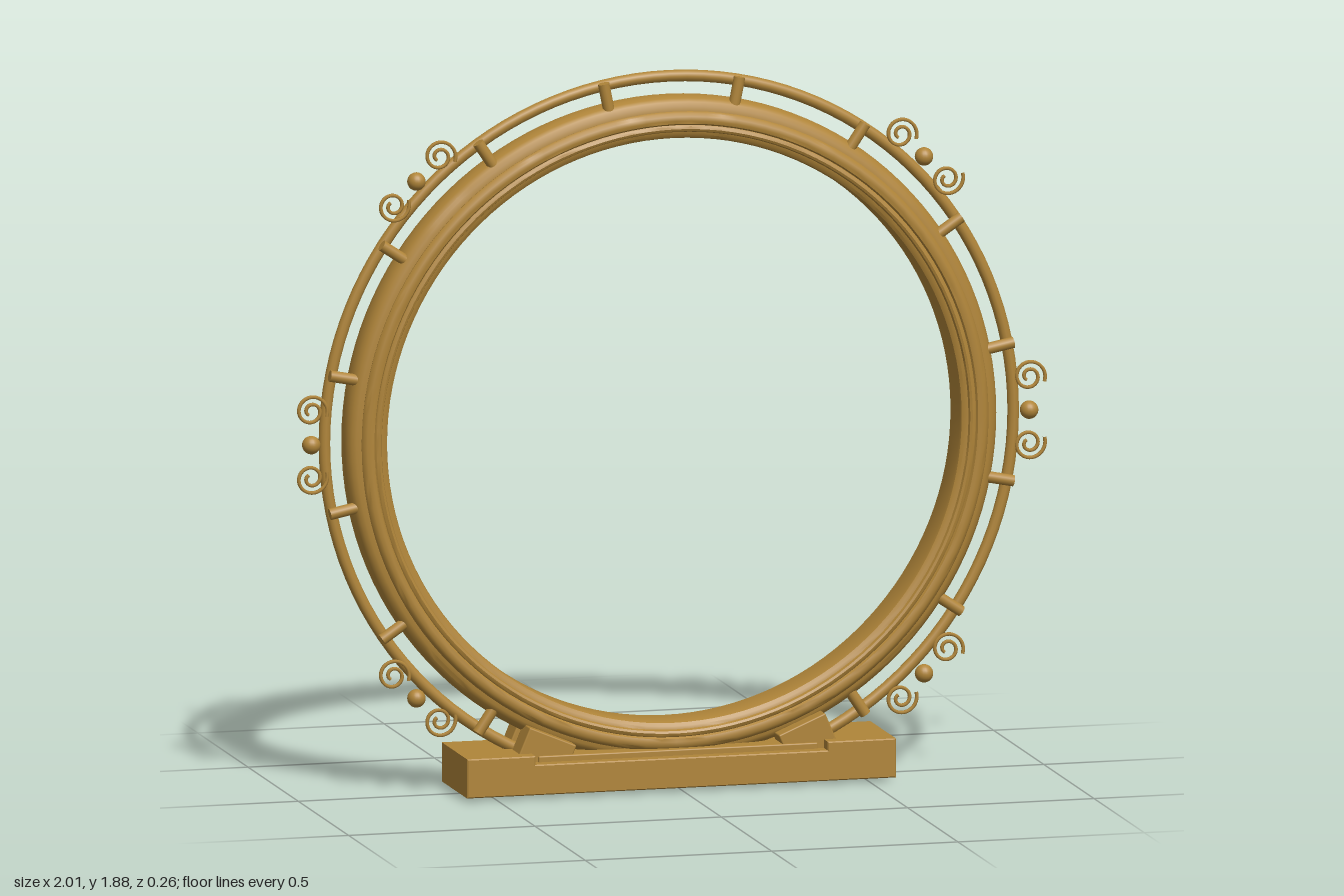
import * as THREE from 'three';
import { toCreasedNormals } from 'three/addons/utils/BufferGeometryUtils.js';
import { RoundedBoxGeometry } from 'three/addons/geometries/RoundedBoxGeometry.js';

const CX = -0.006, CY = 0.945; // centre of the ring

export function createModel() {
  const model = new THREE.Group();
  model.name = 'ringOnStand';
  const bronze = new THREE.MeshStandardMaterial({ color: 0xb08539 });
  bronze.name = 'bronze';

  function add(parent, name, geometry, x = 0, y = 0, z = 0, turn = 0) {
    const mesh = new THREE.Mesh(geometry, bronze);
    mesh.name = name;
    mesh.position.set(x, y, z);
    mesh.rotation.z = turn;
    parent.add(mesh);
    return mesh;
  }

  const ring = new THREE.Group();
  ring.name = 'ring';
  ring.position.set(CX, CY, 0);
  model.add(ring);

  // Moulded main ring: half section (radius, depth) from bore to crown, mirrored in depth
  const half = [
    [0.768, 0.045], [0.771, 0.055], [0.779, 0.061], [0.787, 0.063],
    [0.79, 0.071], [0.796, 0.074], [0.803, 0.072], [0.806, 0.069],
    [0.81, 0.075], [0.818, 0.0775], [0.829, 0.0765], [0.837, 0.071],
    [0.841, 0.063], [0.839, 0.055], [0.834, 0.05],
    [0.851, 0.049], [0.862, 0.043], [0.87, 0.032], [0.874, 0.016],
  ];
  const section = [
    ...half.map(([r, d]) => [r, -d]),
    [0.875, 0],
    ...half.slice().reverse(),
    [0.768, -0.045],
  ].map(([r, d]) => new THREE.Vector2(r, d));
  const ringGeometry = new THREE.LatheGeometry(section, 128);
  ringGeometry.rotateX(Math.PI / 2);
  add(ring, 'mainRing', toCreasedNormals(ringGeometry, 0.6));

  // Thin outer hoop
  add(ring, 'outerHoop', new THREE.TorusGeometry(0.924, 0.0155, 12, 128));

  // Sixteen pegs joining the hoop to the main ring
  const peg = new THREE.CylinderGeometry(0.015, 0.015, 0.08, 14);
  for (let i = 0; i < 16; i++) {
    const a = ((i + 0.5) * Math.PI) / 8;
    add(ring, 'peg', peg, 0.895 * Math.cos(a), 0.895 * Math.sin(a), 0.028, a - Math.PI / 2);
  }

  // Spiral wire, opening towards +x
  const points = [];
  for (let i = 0; i <= 36; i++) {
    const t = i / 36, a = -0.35 + t * Math.PI * 3.4, r = 0.044 - 0.033 * t;
    points.push(new THREE.Vector3(r * Math.cos(a), r * Math.sin(a), 0));
  }
  const scrollUp = new THREE.TubeGeometry(new THREE.CatmullRomCurve3(points), 64, 0.005, 6);
  const scrollDown = scrollUp.clone().rotateX(Math.PI);

  // Six ornaments: a ball between two scrolls
  const ball = new THREE.SphereGeometry(0.024, 20, 14);
  for (const degrees of [0, 45, 135, 180, 225, 315]) {
    const a = THREE.MathUtils.degToRad(degrees);
    const ornament = new THREE.Group();
    ornament.name = 'ornament';
    ornament.position.set(0.963 * Math.cos(a), 0.963 * Math.sin(a), 0.014);
    ring.add(ornament);
    add(ornament, 'ball', ball);
    for (const s of [-1, 1]) {
      const x = -s * 0.088 * Math.sin(a), y = s * 0.088 * Math.cos(a);
      add(ornament, 'scroll', y > 0 ? scrollUp : scrollDown, x, y);
    }
  }

  // Four cradle blocks, tangent to the ring
  const block = new RoundedBoxGeometry(0.136, 0.12, 0.072, 2, 0.004);
  for (const side of [-1, 1]) {
    for (const face of [-1, 1]) {
      const a = side * THREE.MathUtils.degToRad(23);
      add(ring, 'cradleBlock', block, 0.913 * Math.sin(a), -0.913 * Math.cos(a), face * 0.054, a);
    }
  }

  // Base with a shallow step along the middle of its top
  const outline = new THREE.Shape([
    [-0.572, 0.018], [0.572, 0.018], [0.572, 0.115], [0.395, 0.115],
    [0.395, 0.092], [-0.395, 0.092], [-0.395, 0.115], [-0.572, 0.115],
  ].map(([x, y]) => new THREE.Vector2(x, y)));
  const base = new THREE.ExtrudeGeometry(outline, {
    depth: 0.252, bevelThickness: 0.003, bevelSize: 0.003, bevelSegments: 1,
  });
  base.translate(0, 0, -0.126);
  add(model, 'base', base, CX);
  add(model, 'basePlate', new RoundedBoxGeometry(0.75, 0.03, 0.19, 2, 0.004), CX, 0.096, 0);

  return model;
}
